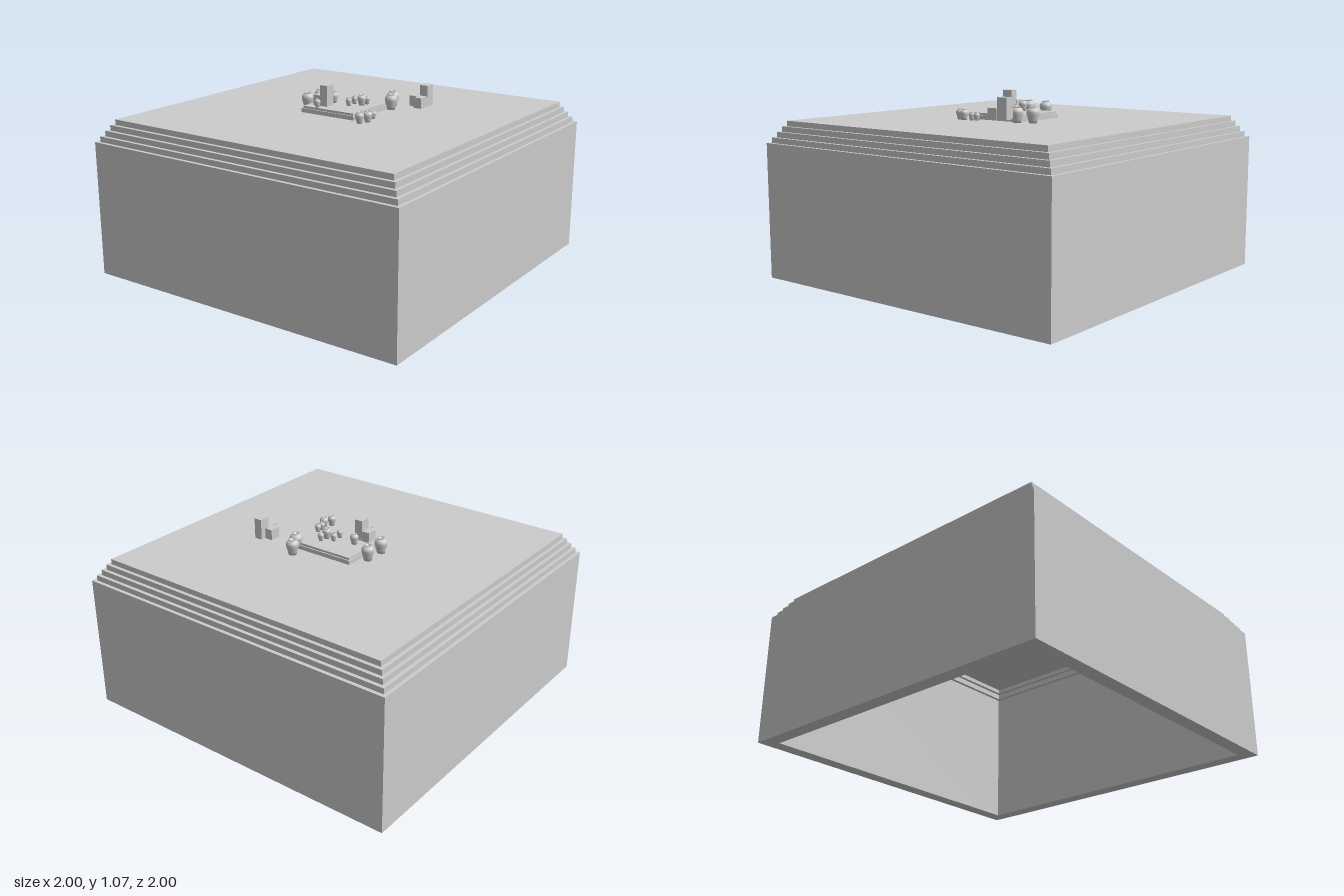
import * as THREE from 'three';

const grey = new THREE.MeshStandardMaterial({ color: 0xcccccc });
const flat = new THREE.MeshStandardMaterial({ color: 0xcccccc, flatShading: true });
const open = new THREE.MeshStandardMaterial({ color: 0xcccccc, side: THREE.DoubleSide });

const GROUND = 0.908, DECK = 0.945;
const points = list => list.map(([x, y]) => new THREE.Vector2(x, y));

function box(name, w, h, d, x, y, z) {
  const mesh = new THREE.Mesh(new THREE.BoxGeometry(w, h, d), grey);
  mesh.position.set(x, y, z);
  mesh.name = name;
  return mesh;
}

// Hollow square base: inner ceiling, inner wall, bottom rim, outer wall, stepped top
function makeBase() {
  const profile = [[0, 0.9], [0.877, 0.9], [0.877, 0.875], [0.897, 0.875], [0.897, 0.842],
    [0.917, 0.842], [0.917, 0], [1, 0], [1, 0.783]];
  for (let i = 1; i <= 4; i++) {
    const half = 1 - 0.0207 * i, bottom = 0.783 + 0.0313 * (i - 1);
    profile.push([half, bottom], [half, bottom + 0.0313]);
  }
  profile.push([0, GROUND]);
  // a four-sided lathe makes square rings whose corners lie on the diagonals
  const ring = points(profile.map(([half, y]) => [half * Math.SQRT2, y]));
  const mesh = new THREE.Mesh(new THREE.LatheGeometry(ring, 4, Math.PI / 4), flat);
  mesh.name = 'steppedBase';
  return mesh;
}

// Jar with a narrow foot, round shoulder, lip and open mouth
function makeJar(name, radius, height, x, y, z) {
  const shape = [[0, 0], [0.62, 0], [0.72, 0.2], [0.92, 0.48], [1, 0.66], [0.95, 0.78],
    [0.72, 0.89], [0.52, 0.92], [0.52, 0.95], [0.6, 1], [0.4, 1], [0.4, 0.88], [0, 0.85]];
  const profile = points(shape.map(([r, h]) => [r * radius, h * height]));
  const mesh = new THREE.Mesh(new THREE.LatheGeometry(profile, 16), open);
  mesh.position.set(x, y, z);
  mesh.name = name;
  return mesh;
}

// Lattice crate: a core with a raised grid of thin slats on each axis
function makeCrate(x, y, z) {
  const crate = new THREE.Group();
  const size = [0.048, 0.06, 0.064], cells = 4, slat = 0.003;
  crate.add(box('crateCore', size[0] - 0.006, size[1] - 0.006, size[2] - 0.006, 0, 0, 0));
  for (let axis = 0; axis < 3; axis++) {
    for (let i = 0; i <= cells; i++) {
      const s = [...size], p = [0, 0, 0];
      s[axis] = slat;
      p[axis] = (i / cells - 0.5) * (size[axis] - slat);
      crate.add(box('crateSlat', ...s, ...p));
    }
  }
  crate.position.set(x, y, z);
  crate.name = 'crate';
  return crate;
}

export function createModel() {
  const model = new THREE.Group();
  model.name = 'steppedPlinthWithJars';
  model.add(makeBase());

  // Low platform in two tiers
  model.add(box('platformLower', 0.36, 0.024, 0.36, 0, GROUND + 0.012, 0));
  model.add(box('platformUpper', 0.345, 0.037, 0.345, 0, GROUND + 0.0185, 0));

  // Large jars on the ground
  for (const [x, z] of [[-0.22, -0.062], [-0.22, 0.063], [0.16, -0.255], [0.2, -0.175]])
    model.add(makeJar('largeJar', 0.037, 0.09, x, GROUND, z));

  // Medium jars
  for (const [x, z, y] of [[-0.08, 0, DECK], [0.093, -0.03, DECK], [0.262, 0.16, GROUND], [0.24, 0.207, GROUND]])
    model.add(makeJar('mediumJar', 0.025, 0.062, x, y, z));

  // Small jars
  for (const [x, z, y] of [[-0.085, 0.155, DECK], [0.04, -0.035, DECK], [0.04, 0.023, DECK],
    [0.1, -0.075, DECK], [0.245, 0.08, GROUND], [0.245, 0.117, GROUND]])
    model.add(makeJar('smallJar', 0.018, 0.048, x, y, z));

  // Two stacks of crates
  const low = DECK + 0.03, high = DECK + 0.09;
  for (const [x, y, z] of [[0.346, low, -0.211], [0.395, low, -0.243], [0.395, low, -0.176], [0.395, high, -0.243],
    [-0.116, low, 0.088], [-0.067, low, 0.088], [-0.067, high, 0.088]])
    model.add(makeCrate(x, y, z));

  return model;
}
